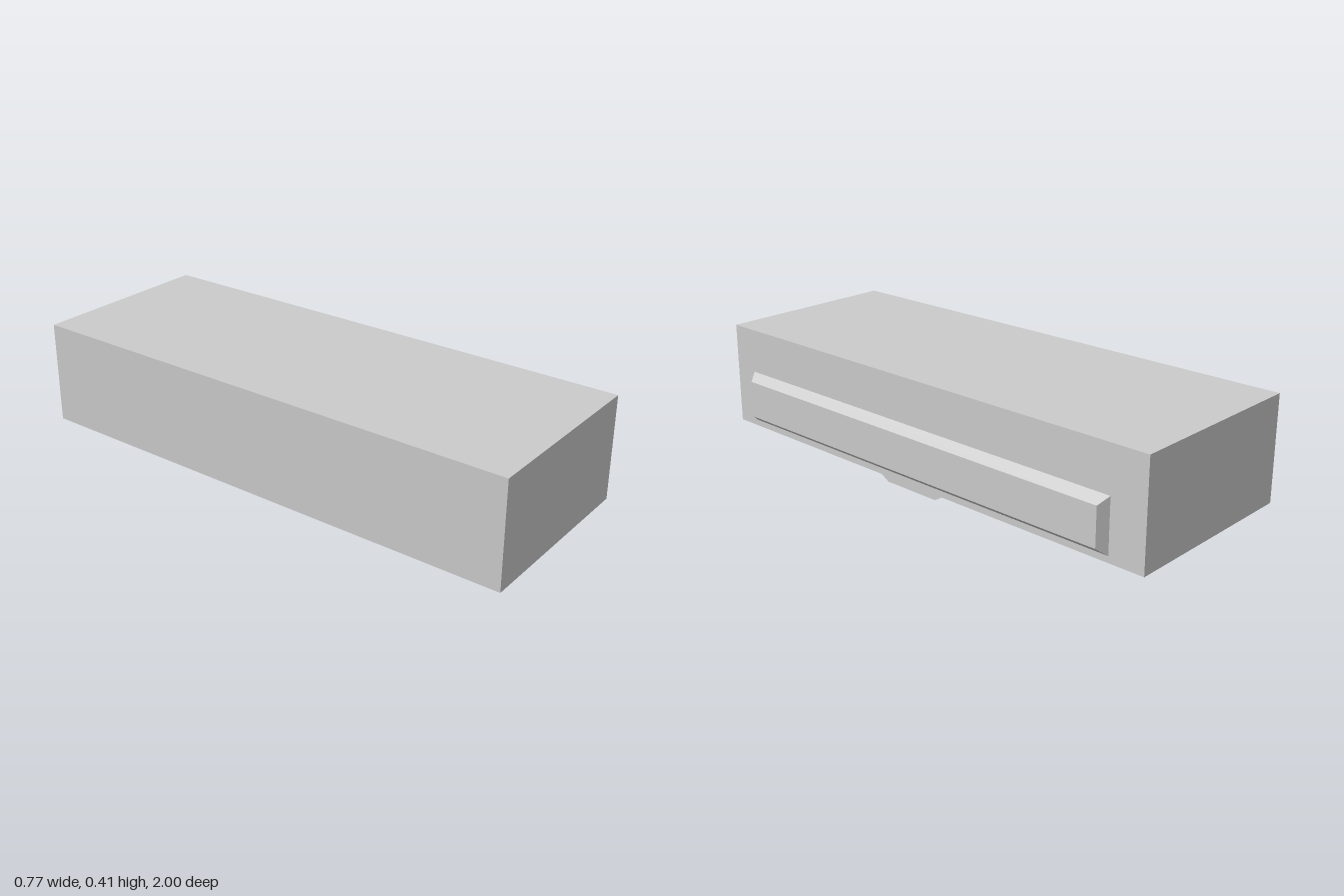
import * as THREE from 'three';
import { toCreasedNormals } from 'three/addons/utils/BufferGeometryUtils.js';

const X0 = -0.385, X1 = 0.35, Y0 = 0.02, Y1 = 0.415, HALF = 0.995;
// Cross-section of the shallow channel along the underside
const channel = [[-0.305, Y0], [-0.16, 0.094], [0.13, 0.094], [0.264, Y0]];

const toShape = (pts) => new THREE.Shape(pts.map(([x, y]) => new THREE.Vector2(x, y)));

// The ends are very slightly out of square
function skew(geometry) {
  const p = geometry.attributes.position;
  for (let i = 0; i < p.count; i++) p.setZ(i, p.getZ(i) - 0.0136 * (p.getX(i) + 0.0175));
  geometry.computeVertexNormals();
  return geometry;
}

// Raised panel: a box whose outer (+x) face is drawn in on all four sides
function panelGeometry() {
  const g = new THREE.BoxGeometry(1, 1, 1);
  const p = g.attributes.position;
  for (let i = 0; i < p.count; i++) {
    const outer = p.getX(i) > 0;
    const [yLow, yHigh, zBack, zFront] = outer
      ? [0.072, 0.216, -0.84, 0.865]
      : [0.044, 0.244, -0.864, 0.889];
    p.setXYZ(i, outer ? 0.385 : X1, p.getY(i) > 0 ? yHigh : yLow, p.getZ(i) > 0 ? zFront : zBack);
  }
  return toCreasedNormals(g, 0.1);
}

export function createModel() {
  const model = new THREE.Group();
  const material = new THREE.MeshStandardMaterial({ color: 0xcccccc });
  const thin = new THREE.MeshStandardMaterial({ color: 0xcccccc, side: THREE.DoubleSide });
  const add = (name, geometry, mat = material) => {
    const mesh = new THREE.Mesh(geometry, mat);
    mesh.name = name;
    model.add(mesh);
    return mesh;
  };

  // Long body with the channel running underneath
  const section = toShape([[X0, Y0], ...channel, [X1, Y0], [X1, Y1], [X0, Y1]]);
  const body = new THREE.ExtrudeGeometry(section, { depth: 2 * HALF, bevelEnabled: false });
  body.translate(0, 0, -HALF);
  add('body', toCreasedNormals(skew(body), 0.6));

  // Thin plates closing the channel at both ends
  for (const side of [1, -1]) {
    const plate = new THREE.ShapeGeometry(toShape(channel));
    if (side < 0) {
      // Turn to face outwards, then mirror the section back into place
      plate.scale(-1, 1, 1);
      plate.rotateY(Math.PI);
      const index = plate.index.array;
      for (let i = 0; i < index.length; i += 3) [index[i], index[i + 1]] = [index[i + 1], index[i]];
    }
    plate.translate(0, 0, side * HALF);
    add(side > 0 ? 'frontEndPlate' : 'backEndPlate', skew(plate), thin);
  }

  // Bevelled panel on the long side
  add('sidePanel', panelGeometry());

  // Small tapered finger grip below the panel
  const grip = new THREE.ExtrudeGeometry(
    toShape([[-0.16, Y0], [-0.125, 0], [0.112, 0], [0.145, Y0]]),
    { depth: 0.06, bevelEnabled: false }
  );
  grip.rotateY(Math.PI / 2);
  grip.translate(X1 - 0.06, 0, 0);
  add('fingerGrip', grip);

  return model;
}
